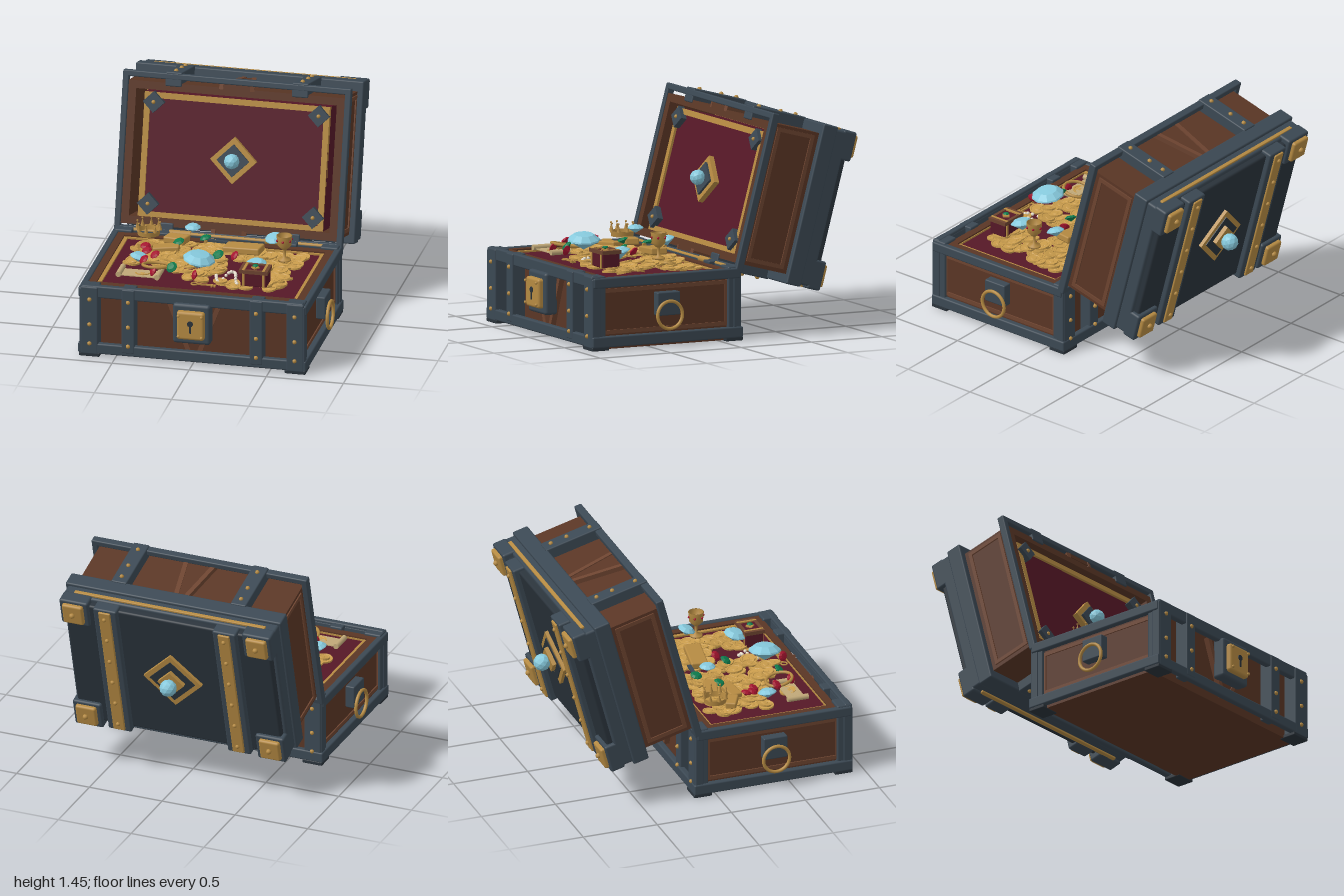
import * as THREE from 'three';
import { mergeGeometries } from 'three/addons/utils/BufferGeometryUtils.js';
import { RoundedBoxGeometry } from 'three/addons/geometries/RoundedBoxGeometry.js';

const paint = (color, flatShading = false) => new THREE.MeshStandardMaterial({ color, flatShading });
const IRON = paint(0x3b4853), DARK = paint(0x2a333b), WOOD = paint(0x5a3625), WOOD2 = paint(0x6d4430);
const GOLD = paint(0xb58a42), COIN = paint(0xc99c4c), VELVET = paint(0x561827), PAPER = paint(0xc0a878);
const CYAN = paint(0x86c9dc, true), RED = paint(0xa5152f, true), GREEN = paint(0x0c7a4c, true), PEARL = paint(0xe6ddcc);
const SIDES = [-1, 1];

function add(parent, name, geo, mat, x = 0, y = 0, z = 0, rx = 0, ry = 0, rz = 0) {
  const m = new THREE.Mesh(geo, mat);
  m.name = name;
  m.position.set(x, y, z);
  m.rotation.set(rx, ry, rz);
  parent.add(m);
  return m;
}
// box given by its extents [min, max] on each axis
function slab(parent, name, mat, [x0, x1], [y0, y1], [z0, z1], r = 0) {
  const w = x1 - x0, h = y1 - y0, d = z1 - z0;
  const geo = r ? new RoundedBoxGeometry(w, h, d, 2, r) : new THREE.BoxGeometry(w, h, d);
  return add(parent, name, geo, mat, (x0 + x1) / 2, (y0 + y1) / 2, (z0 + z1) / 2);
}
const span = (s, a, b) => (s > 0 ? [a, b] : [-b, -a]);
const bolt = (p, x, y, z, r = 0.014) => add(p, 'bolt', new THREE.SphereGeometry(r, 10, 8), GOLD, x, y, z);

// rectangular ring lying in the xz plane
function ring(parent, name, mat, [x0, x1], [z0, z1], [y0, y1], t, r = 0) {
  slab(parent, name, mat, [x0, x1], [y0, y1], [z0, z0 + t], r);
  slab(parent, name, mat, [x0, x1], [y0, y1], [z1 - t, z1], r);
  slab(parent, name, mat, [x0, x0 + t], [y0, y1], [z0, z1], r);
  slab(parent, name, mat, [x1 - t, x1], [y0, y1], [z0, z1], r);
}
// tapered centre board with slanted edging strips
function taperBoard(parent, [yWide, yNarrow], wide, narrow, z, depth) {
  const s = new THREE.Shape([[-wide, yWide], [wide, yWide], [narrow, yNarrow], [-narrow, yNarrow]].map(p => new THREE.Vector2(...p)));
  add(parent, 'taperBoard', new THREE.ExtrudeGeometry(s, { depth, bevelEnabled: false }), WOOD, 0, 0, z);
  const dx = wide - narrow, dy = yWide - yNarrow;
  for (const k of SIDES)
    add(parent, 'taperEdge', new THREE.BoxGeometry(0.03, Math.hypot(dx, dy), depth + 0.012), WOOD2,
      k * (wide + narrow) / 2, (yWide + yNarrow) / 2, z + depth / 2, 0, 0, -k * Math.atan(dx / dy));
}
// thin frame on an end wall
function endPanel(parent, k, [y0, y1], [z0, z1]) {
  const x = span(k, 0.695, 0.708), t = 0.025;
  slab(parent, 'endPanelRail', WOOD2, x, [y0, y0 + t], [z0, z1]);
  slab(parent, 'endPanelRail', WOOD2, x, [y1 - t, y1], [z0, z1]);
  slab(parent, 'endPanelRail', WOOD2, x, [y0, y1], [z0, z0 + t]);
  slab(parent, 'endPanelRail', WOOD2, x, [y0, y1], [z1 - t, z1]);
}
function diamond(parent, name, mat, half, h, x, y, z) {
  const s = half * Math.SQRT2;
  return add(parent, name, new THREE.BoxGeometry(s, h, s), mat, x, y, z, 0, Math.PI / 4);
}
function gem(parent, mat, r, x, y, z, rx = 0, rz = 0) {
  const p = [[0, -0.55], [1, 0.05], [0.96, 0.14], [0.6, 0.42], [0, 0.45]].map(([a, b]) => new THREE.Vector2(a * r, b * r));
  return add(parent, 'gem', new THREE.LatheGeometry(p, 10), mat, x, y, z, rx, 0.3, rz);
}

function buildBase() {
  const g = new THREE.Group();
  g.name = 'base';
  slab(g, 'body', WOOD, [-0.7, 0.7], [0.005, 0.42], [-0.06, 0.83]);
  ring(g, 'woodRim', WOOD, [-0.7, 0.7], [-0.06, 0.83], [0.4, 0.458], 0.05);
  ring(g, 'goldLining', GOLD, [-0.65, 0.65], [-0.02, 0.8], [0.4, 0.448], 0.025);
  slab(g, 'velvetBed', VELVET, [-0.63, 0.63], [0.4, 0.437], [0, 0.78]);
  ring(g, 'bottomRail', IRON, [-0.74, 0.74], [-0.15, 0.92], [0.02, 0.09], 0.042, 0.01);
  ring(g, 'topRail', IRON, [-0.74, 0.74], [-0.13, 0.912], [0.4, 0.465], 0.042, 0.01);
  slab(g, 'frontTopRail', IRON, [-0.72, 0.72], [0.4, 0.48], [0.872, 0.914], 0.01);
  taperBoard(g, [0.42, 0.06], 0.17, 0.03, 0.83, 0.03);
  taperBoard(g, [0.42, 0.06], 0.17, 0.03, -0.09, 0.03);
  for (const k of SIDES) {
    for (const [z0, z1, face] of [[0.82, 0.922, 0.922], [-0.145, -0.05, -0.145]]) {
      slab(g, 'cornerPost', IRON, span(k, 0.61, 0.725), [0.015, 0.475], [z0, z1], 0.01);
      slab(g, 'strap', IRON, span(k, 0.373, 0.457), [0.04, 0.475], [z0 + 0.005, z1], 0.008);
      for (const y of [0.09, 0.22, 0.39]) {
        bolt(g, k * 0.665, y, face);
        bolt(g, k * 0.415, y, face);
      }
      const zc = face > 0 ? [0.8, 0.92] : [-0.15, -0.03];
      slab(g, 'footPlate', DARK, span(k, 0.6, 0.735), [0, 0.025], zc, 0.006);
      slab(g, 'sidePost', IRON, span(k, 0.69, 0.732), [0.03, 0.46], face > 0 ? [0.86, 0.92] : [-0.14, -0.085], 0.008);
    }
    endPanel(g, k, [0.1, 0.39], [-0.06, 0.84]);
    // ring handle
    slab(g, 'handlePlate', IRON, span(k, 0.7, 0.762), [0.2, 0.35], [0.31, 0.47], 0.008);
    add(g, 'handleRing', new THREE.TorusGeometry(0.088, 0.011, 10, 32), GOLD, k * 0.776, 0.205, 0.39, 0, Math.PI / 2);
    // hinge knuckles
    add(g, 'hingeKnuckle', new THREE.CylinderGeometry(0.02, 0.02, 0.14, 12), GOLD, k * 0.31, 0.462, -0.1, 0, 0, Math.PI / 2);
  }
  add(g, 'hingeRod', new THREE.CylinderGeometry(0.011, 0.011, 1.24, 10), GOLD, 0, 0.462, -0.1, 0, 0, Math.PI / 2);
  // lock
  slab(g, 'lockBacking', IRON, [-0.122, 0.122], [0.15, 0.42], [0.85, 0.94], 0.02);
  slab(g, 'lockPlate', GOLD, [-0.09, 0.09], [0.19, 0.38], [0.92, 0.975], 0.018);
  add(g, 'keyhole', new THREE.CylinderGeometry(0.019, 0.019, 0.012, 16), DARK, 0, 0.303, 0.974, Math.PI / 2);
  slab(g, 'keyholeSlot', DARK, [-0.007, 0.007], [0.24, 0.3], [0.965, 0.98]);
  for (const x of SIDES) for (const y of [0.215, 0.355]) bolt(g, x * 0.075, y, 0.982, 0.01);
  return g;
}

function buildLid() {
  const g = new THREE.Group();
  g.name = 'lid';
  ring(g, 'lidWall', WOOD, [-0.7, 0.7], [0.055, 0.97], [0.005, 0.38], 0.05);
  slab(g, 'cavityFloor', GOLD, [-0.66, 0.66], [0.34, 0.38], [0.06, 0.96]);
  slab(g, 'velvetPanel', VELVET, [-0.6, 0.6], [0.05, 0.35], [0.1, 0.9]);
  ring(g, 'panelFrame', GOLD, [-0.6, 0.6], [0.1, 0.9], [0.035, 0.08], 0.037);
  ring(g, 'rimRail', IRON, [-0.74, 0.74], [0, 1.033], [-0.005, 0.045], 0.04, 0.008);
  // inner ornaments
  diamond(g, 'innerDiamond', GOLD, 0.15, 0.04, 0, 0.035, 0.51);
  diamond(g, 'innerDiamondInset', IRON, 0.105, 0.05, 0, 0.025, 0.51);
  add(g, 'innerGem', new THREE.IcosahedronGeometry(0.05, 1), CYAN, 0, -0.028, 0.51);
  for (const x of SIDES) for (const z of [0.19, 0.84]) {
    diamond(g, 'innerCorner', IRON, 0.07, 0.04, x * 0.535, 0.03, z);
    bolt(g, x * 0.535, 0.01, z, 0.013);
  }
  // stepped iron top
  slab(g, 'topBand', IRON, [-0.74, 0.74], [0.37, 0.475], [-0.005, 1.035], 0.01);
  slab(g, 'topStep', IRON, [-0.725, 0.725], [0.465, 0.56], [0.01, 1.018], 0.015);
  slab(g, 'topPlate', DARK, [-0.7, 0.7], [0.54, 0.6], [0.035, 0.99], 0.015);
  for (const z of [0.006, 1.02]) slab(g, 'edgeTrim', GOLD, [-0.655, 0.655], [0.515, 0.54], [z - 0.01, z + 0.01], 0.004);
  taperBoard(g, [0.0, 0.37], 0.1, 0.03, 0.965, 0.03);
  taperBoard(g, [0.0, 0.37], 0.1, 0.03, 0.03, 0.03);
  for (const k of SIDES) {
    endPanel(g, k, [0.07, 0.34], [0.08, 0.95]);
    for (const [z0, z1, face] of [[0.95, 1.043, 1.045], [-0.01, 0.08, -0.012]]) {
      slab(g, 'lidStrap', IRON, span(k, 0.357, 0.463), [-0.004, 0.385], [z0, z1], 0.008);
      for (const y of [0.06, 0.22, 0.33]) bolt(g, k * 0.41, y, face);
    }
    slab(g, 'topStrap', IRON, span(k, 0.33, 0.49), [0.55, 0.635], [0.015, 1.01], 0.012);
    slab(g, 'topStrapGold', GOLD, span(k, 0.37, 0.45), [0.62, 0.648], [0.03, 0.995], 0.006);
    for (let i = 0; i < 6; i++) bolt(g, k * 0.41, 0.65, 0.08 + i * 0.173);
    for (const z of [0.095, 0.935]) {
      slab(g, 'cornerBlock', IRON, span(k, 0.53, 0.725), [0.53, 0.625], [z - 0.1, z + 0.09], 0.014);
      slab(g, 'cornerPlate', GOLD, span(k, 0.56, 0.7), [0.6, 0.652], [z - 0.075, z + 0.07], 0.014);
      bolt(g, k * 0.63, 0.657, z, 0.018);
    }
  }
  // outer diamond with gem
  diamond(g, 'outerDiamond', GOLD, 0.2, 0.04, 0, 0.602, 0.51);
  diamond(g, 'outerDiamondInset', DARK, 0.155, 0.04, 0, 0.608, 0.51);
  diamond(g, 'gemSeat', GOLD, 0.09, 0.05, 0, 0.63, 0.51);
  add(g, 'outerGem', new THREE.IcosahedronGeometry(0.056, 1), CYAN, 0, 0.695, 0.51);
  g.position.set(0, 0.44, -0.1);
  g.rotation.x = -THREE.MathUtils.degToRad(105);
  return g;
}

function buildTreasure() {
  const g = new THREE.Group();
  g.name = 'treasure';
  let seed = 7;
  const rnd = () => (seed = (seed * 16807) % 2147483647) / 2147483647;
  // coins heaped in a low mound
  const prof = [[0, -0.005], [0.05, -0.005], [0.05, 0.007], [0.042, 0.007], [0.039, 0.004], [0.02, 0.004], [0.016, 0.007], [0, 0.007]];
  const coin = new THREE.LatheGeometry(prof.map(p => new THREE.Vector2(...p)), 18).toNonIndexed();
  coin.computeVertexNormals();
  const coins = [], o = new THREE.Object3D();
  for (let n = 0; coins.length < 180 && n < 900; n++) {
    const x = (rnd() * 2 - 1) * 0.53, z = 0.06 + rnd() * 0.64;
    if ((x < -0.42 && z > 0.42) || (x > 0.4 && z > 0.66) || (x > 0.08 && x < 0.26 && z > 0.28 && z < 0.62) || (x < -0.15 && z > 0.62)) continue;
    const mound = Math.max(0, 1 - (x / 0.62) ** 2 - ((z - 0.38) / 0.42) ** 2);
    o.position.set(x, 0.446 + mound * 0.055 * (0.3 + 0.7 * rnd()) + 0.012 * rnd(), z);
    o.rotation.set((rnd() - 0.5) * 0.4, rnd() * 6, (rnd() - 0.5) * 0.4);
    o.scale.setScalar(0.85 + rnd() * 0.25);
    o.updateMatrix();
    coins.push(coin.clone().applyMatrix4(o.matrix));
  }
  add(g, 'coins', mergeGeometries(coins), COIN);
  // large gems, then small stones
  [[0.105, -0.03, 0.585, 0.59, 0.1, -0.15], [0.052, -0.17, 0.615, 0.15, 0, 0], [0.058, 0.37, 0.615, 0.21, 0.3, 0.1],
    [0.06, -0.45, 0.51, 0.45, 0, -0.2], [0.075, 0.32, 0.55, 0.52, 0.2, 0.1]].forEach(([r, ...p]) => gem(g, CYAN, r, ...p));
  [[-0.44, 0.31], [-0.42, 0.36], [-0.36, 0.39], [-0.4, 0.53], [0.14, 0.32], [-0.31, 0.66], [-0.03, 0.71]]
    .forEach(([x, z], i) => gem(g, RED, 0.034, x, 0.53 - 0.01 * (i % 3), z, 0.3, 0.2 * i));
  [[-0.1, 0.1], [-0.25, 0.2], [0.04, 0.35], [-0.2, 0.62]].forEach(([x, z], i) => gem(g, GREEN, 0.038, x, 0.53, z, 0.2 * i, 0.3));
  // bars
  [[-0.28, 0.52, 0.13, 0.15, 0.09, -0.3], [0.17, 0.525, 0.2, 0.25, 0.11, -0.15], [-0.32, 0.5, 0.25, 0.17, 0.08, 0.15], [-0.45, 0.49, 0.21, 0.12, 0.07, -0.5]]
    .forEach(([x, y, z, w, d, ry]) => add(g, 'goldBar', new RoundedBoxGeometry(w, 0.045, d, 2, 0.01), GOLD, x, y, z, 0, ry, 0.08));
  // goblet
  const cup = [[0, 0], [0.042, 0], [0.04, 0.01], [0.01, 0.025], [0.009, 0.07], [0.02, 0.08], [0.044, 0.105], [0.05, 0.17], [0.044, 0.17], [0.036, 0.11], [0, 0.1]];
  add(g, 'goblet', new THREE.LatheGeometry(cup.map(p => new THREE.Vector2(...p)), 24), GOLD, 0.46, 0.515, 0.31);
  for (let i = 0; i < 6; i++) bolt(g, 0.46 + 0.048 * Math.sin(i * 1.05), 0.655, 0.31 + 0.048 * Math.cos(i * 1.05), 0.008).material = RED;
  // small casket
  slab(g, 'casket', VELVET, [0.26, 0.43], [0.475, 0.58], [0.57, 0.69], 0.006);
  ring(g, 'casketTrim', WOOD2, [0.252, 0.438], [0.563, 0.697], [0.562, 0.586], 0.02);
  for (const x of [0.28, 0.41]) slab(g, 'casketStrap', GOLD, [x - 0.008, x + 0.008], [0.475, 0.588], [0.565, 0.696]);
  diamond(g, 'casketPlate', GOLD, 0.03, 0.008, 0.345, 0.583, 0.63);
  gem(g, GREEN, 0.02, 0.345, 0.595, 0.63);
  // scroll
  slab(g, 'scrollSheet', PAPER, [-0.53, -0.28], [0.47, 0.476], [0.57, 0.68]);
  for (const x of [-0.53, -0.28]) add(g, 'scrollRoll', new THREE.CylinderGeometry(0.018, 0.018, 0.14, 14), PAPER, x, 0.482, 0.625, Math.PI / 2);
  // bracelet and crown
  add(g, 'bracelet', new THREE.TorusGeometry(0.085, 0.01, 8, 32), GOLD, -0.31, 0.52, 0.58, Math.PI / 2 - 0.2);
  add(g, 'crownBand', new THREE.CylinderGeometry(0.075, 0.07, 0.035, 24, 1, true), new THREE.MeshStandardMaterial({ color: 0xb58a42, side: THREE.DoubleSide }), -0.47, 0.54, 0.09);
  for (let i = 0; i < 8; i++) {
    const a = i * Math.PI / 4, x = -0.47 + 0.074 * Math.cos(a), z = 0.09 + 0.074 * Math.sin(a);
    add(g, 'crownSpike', new THREE.ConeGeometry(0.014, 0.05, 6), GOLD, x, 0.58, z);
    bolt(g, x, 0.607, z, 0.007);
  }
  // pearl string
  for (let i = 0; i < 18; i++) add(g, 'pearl', new THREE.SphereGeometry(0.011, 10, 8), PEARL, 0.08 + i * 0.009, 0.485 + 0.008 * Math.sin(i), 0.58 + 0.09 * Math.sin(i * 0.45));
  // key and dagger
  add(g, 'keyBow', new THREE.TorusGeometry(0.02, 0.005, 6, 16), GOLD, -0.03, 0.475, 0.72, Math.PI / 2);
  slab(g, 'keyShaft', GOLD, [-0.01, 0.11], [0.47, 0.48], [0.715, 0.725]);
  for (const x of [0.085, 0.105]) slab(g, 'keyTooth', GOLD, [x - 0.005, x + 0.005], [0.47, 0.48], [0.72, 0.745]);
  add(g, 'daggerBlade', new THREE.BoxGeometry(0.16, 0.012, 0.025), IRON, -0.01, 0.52, 0.11, 0, -0.08);
  add(g, 'daggerGuard', new THREE.BoxGeometry(0.015, 0.02, 0.07), GOLD, -0.09, 0.52, 0.105, 0, -0.08);
  return g;
}

export function createModel() {
  const root = new THREE.Group();
  root.name = 'treasureChest';
  root.add(buildBase(), buildLid(), buildTreasure());
  return root;
}
